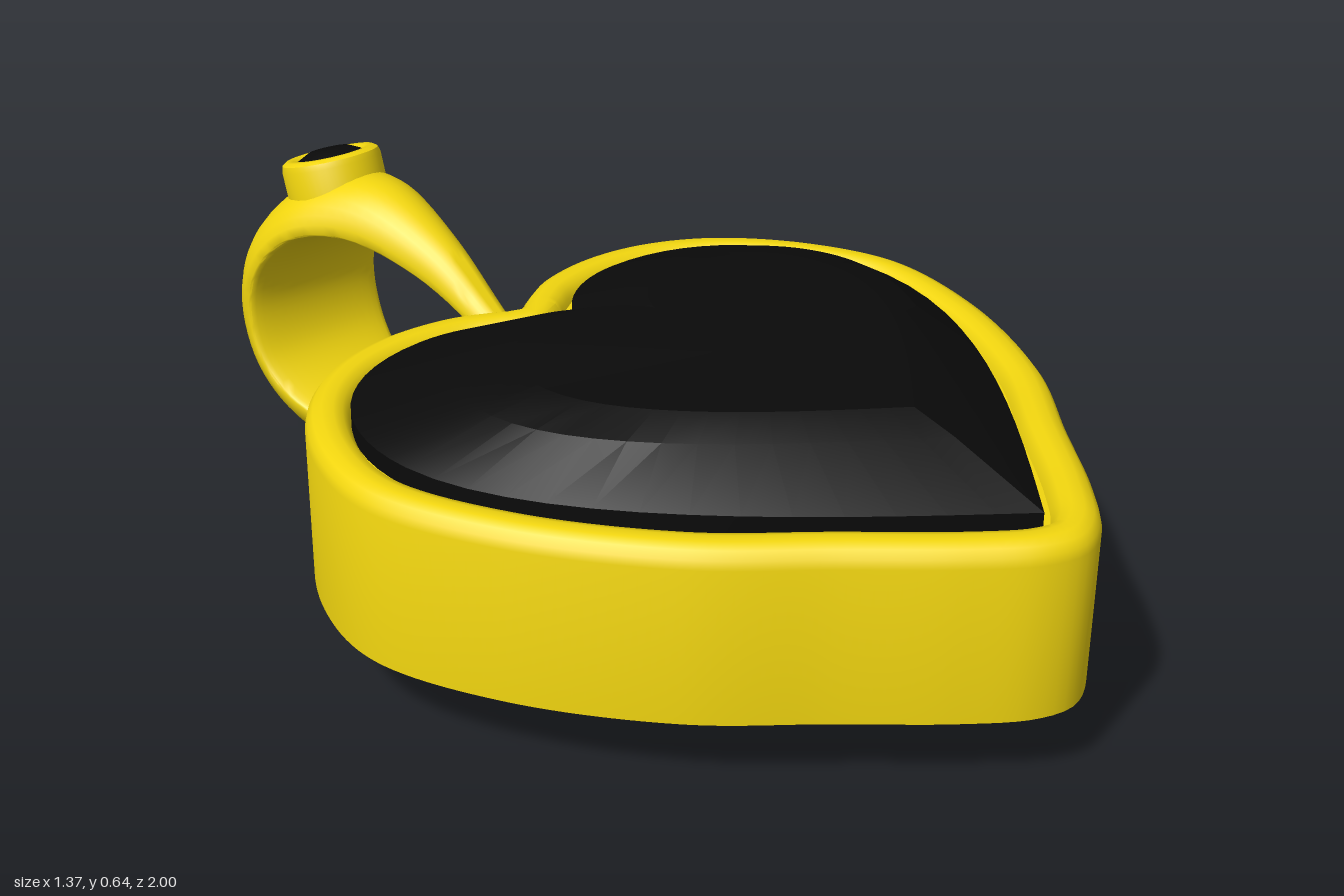
import * as THREE from 'three';
import { toCreasedNormals } from 'three/addons/utils/BufferGeometryUtils.js';

const gold = new THREE.MeshStandardMaterial({ color: 0xf2d60f });
const black = new THREE.MeshStandardMaterial({ color: 0x0a0a0a });
const V = (x, y, z) => new THREE.Vector3(x, y, z);

// Skin a list of closed rings that all have the same number of points.
function loft(rings, crease) {
  const n = rings[0].length;
  const index = [];
  for (let i = 0; i < rings.length - 1; i++) {
    for (let j = 0; j < n; j++) {
      const a = i * n + j, b = i * n + (j + 1) % n, c = a + n, d = b + n;
      index.push(a, c, b, b, c, d);
    }
  }
  const geo = new THREE.BufferGeometry().setFromPoints(rings.flat());
  geo.setIndex(index);
  return toCreasedNormals(geo, crease);
}

function addMesh(parent, name, geo, mat) {
  const mesh = new THREE.Mesh(geo, mat);
  mesh.name = name;
  parent.add(mesh);
  return mesh;
}

// Heart casing: smooth outline, rounded rim and a shallow recess.
function casingGeometry() {
  const half = [[0.04, -0.303], [0.12, -0.343], [0.26, -0.363], [0.4, -0.335], [0.53, -0.25], [0.64, -0.09],
    [0.685, 0.09], [0.62, 0.33], [0.47, 0.58], [0.305, 0.75], [0.165, 0.895], [0.07, 0.973]];
  const mirrored = half.map(([x, z]) => [-x, z]).reverse();
  const points = [[0, -0.28], ...half, [0, 0.995], ...mirrored].map(([x, z]) => V(x, 0, z));
  const curve = new THREE.CatmullRomCurve3(points, true);
  const n = 200;
  const outline = Array.from({ length: n }, (_, i) => {
    const p = curve.getPointAt(i / n), t = curve.getTangentAt(i / n);
    return { p, inward: V(-t.z, 0, t.x) };
  });
  const ring = (offset, y) => outline.map(({ p, inward }) => p.clone().addScaledVector(inward, offset).setY(y));
  const centre = (y) => outline.map(() => V(0, y, 0.25));
  const profile = [[0, 0.135], [0, 0.415], [0.004, 0.43], [0.014, 0.443], [0.03, 0.45],
    [0.05, 0.45], [0.066, 0.445], [0.076, 0.43], [0.08, 0.42]];
  return loft([centre(0.135), ...profile.map(([o, y]) => ring(o, y)), centre(0.42)], 0.7);
}

// Heart stone: sharp outline stepped inwards to a flat table.
function stoneGeometry() {
  const shape = new THREE.Shape().moveTo(0, -0.1);
  shape.bezierCurveTo(0.04, -0.2, 0.13, -0.27, 0.25, -0.27);
  shape.bezierCurveTo(0.46, -0.27, 0.59, -0.11, 0.59, 0.08);
  shape.bezierCurveTo(0.59, 0.37, 0.25, 0.68, 0, 0.91);
  const half = shape.getPoints(14);
  const outline = [...half, ...half.slice(1, -1).reverse().map((p) => new THREE.Vector2(-p.x, p.y))];
  const cz = 0.307;
  const ring = (sx, sz, y) => outline.map((p) => V(p.x * sx, y, cz + (p.y - cz) * sz));
  return loft([ring(1, 1, 0.41), ring(1, 1, 0.455), ring(0.78, 0.705, 0.525),
    ring(0.62, 0.568, 0.55), ring(0, 0, 0.55)], 0.25);
}

// Hanging loop: a D-shaped section that widens away from the heart.
function loopGeometry() {
  // outer z, outer y, inner z, inner y, half width
  const stations = [
    [-0.24, 0.35, -0.25, 0.31, 0.025], [-0.35, 0.43, -0.36, 0.38, 0.038], [-0.48, 0.525, -0.5, 0.45, 0.06],
    [-0.66, 0.595, -0.66, 0.488, 0.1], [-0.82, 0.57, -0.78, 0.462, 0.14], [-0.95, 0.46, -0.855, 0.385, 0.162],
    [-1, 0.3, -0.878, 0.3, 0.165], [-0.95, 0.14, -0.855, 0.205, 0.162], [-0.84, 0.034, -0.78, 0.135, 0.145],
    [-0.7, 0, -0.68, 0.11, 0.11], [-0.5, 0.045, -0.5, 0.145, 0.065], [-0.35, 0.125, -0.36, 0.215, 0.038],
    [-0.24, 0.21, -0.25, 0.28, 0.025]];
  const outer = new THREE.CatmullRomCurve3(stations.map((s) => V(0, s[1], s[0])));
  const inner = new THREE.CatmullRomCurve3(stations.map((s) => V(s[4], s[3], s[2])));
  const steps = 72, sides = 32, rings = [];
  for (let i = 0; i <= steps; i++) {
    const o = outer.getPoint(i / steps), q = inner.getPoint(i / steps);
    const width = q.x;
    q.x = 0;
    rings.push(Array.from({ length: sides }, (_, j) => {
      const a = (j / sides) * Math.PI * 2, s = Math.sin(a);
      // rounded outside, nearly flat inside
      const p = q.clone().lerp(o, s > 0 ? 0.15 + 0.85 * s : 0.15 * (1 + s));
      p.x = width * Math.cos(a);
      return p;
    }));
  }
  return loft(rings, 1);
}

// Small round setting with its own stone, tilted on top of the loop.
function buildSetting() {
  const setting = new THREE.Group();
  setting.name = 'loopSetting';
  const lathe = (points) => toCreasedNormals(
    new THREE.LatheGeometry(points.map(([r, y]) => new THREE.Vector2(r, y)), 48), 0.7);
  addMesh(setting, 'settingCollar', lathe([[0.1, -0.1], [0.1, -0.018], [0.097, -0.006], [0.088, 0],
    [0.074, 0], [0.067, -0.005], [0.064, -0.02], [0, -0.02]]), gold);
  addMesh(setting, 'smallStone', lathe([[0.064, -0.02], [0.064, -0.004], [0.04, 0.008], [0, 0.008]]), black);
  setting.position.set(0, 0.615, -0.815);
  setting.rotation.x = -0.28;
  return setting;
}

export function createModel() {
  const model = new THREE.Group();
  model.name = 'heartPendant';
  addMesh(model, 'heartCasing', casingGeometry(), gold);
  addMesh(model, 'heartStone', stoneGeometry(), black);
  addMesh(model, 'hangingLoop', loopGeometry(), gold);
  model.add(buildSetting());
  return model;
}
